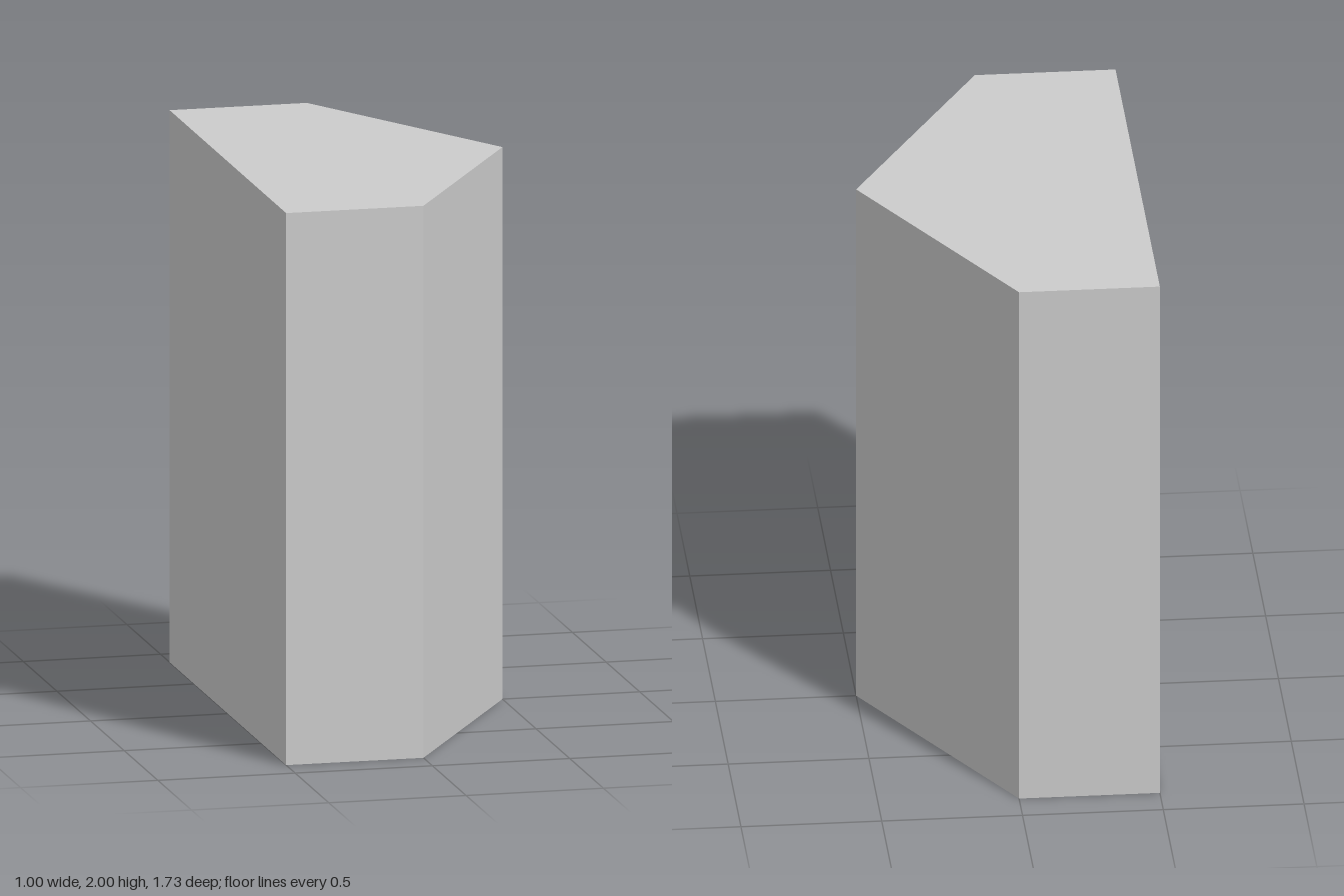
import * as THREE from 'three';

const HEIGHT = 2;
const HALF_WIDTH = 0.5;
const HALF_DEPTH = Math.sqrt(3) / 2;

export function createModel() {
  const group = new THREE.Group();
  group.name = 'pentagonalPrism';

  // Pentagonal footprint: flat back wall at -x, pointed ridge at +x
  const footprint = new THREE.Shape([
    new THREE.Vector2(-HALF_WIDTH, -HALF_DEPTH),
    new THREE.Vector2(0, -HALF_DEPTH),
    new THREE.Vector2(HALF_WIDTH, 0),
    new THREE.Vector2(0, HALF_DEPTH),
    new THREE.Vector2(-HALF_WIDTH, HALF_DEPTH),
  ]);

  // Extrude the footprint and stand it upright on the ground
  const geometry = new THREE.ExtrudeGeometry(footprint, { depth: HEIGHT, bevelEnabled: false });
  geometry.rotateX(-Math.PI / 2);

  const material = new THREE.MeshStandardMaterial({ color: 0xcccccc, flatShading: true });
  const prism = new THREE.Mesh(geometry, material);
  prism.name = 'prismBody';
  group.add(prism);

  return group;
}
